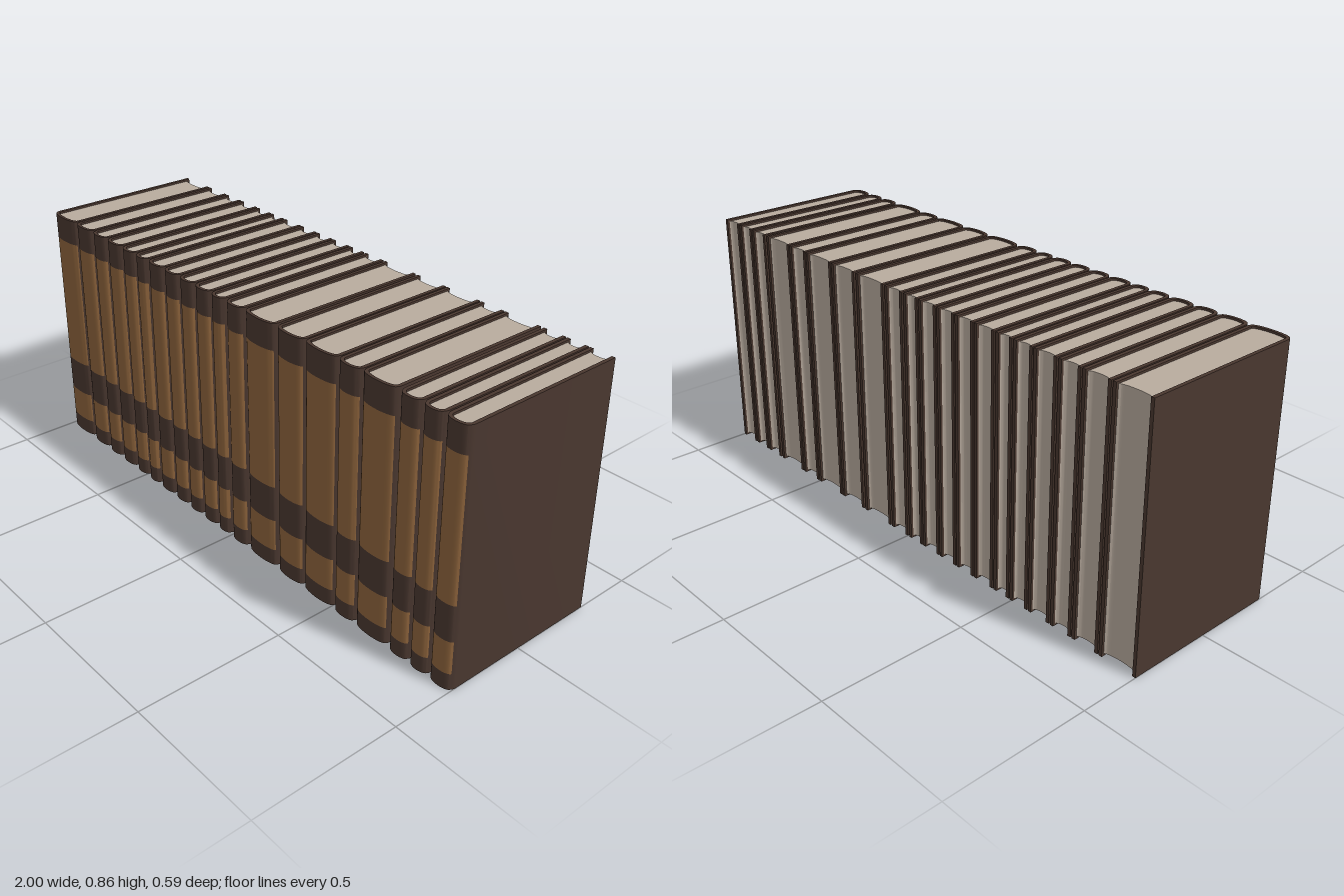
import * as THREE from 'three';
import { toCreasedNormals } from 'three/addons/utils/BufferGeometryUtils.js';

const HEIGHT = 0.86, BACK = -0.295, JOINT = 0.277, SPINE = 0.295, BOARD = 0.012;

// Left and right edge of every book along the row
const BOOKS = [
  [-1, -0.861], [-0.856, -0.754], [-0.749, -0.666], [-0.66, -0.572], [-0.567, -0.492],
  [-0.487, -0.42], [-0.414, -0.329], [-0.325, -0.246], [-0.241, -0.164], [-0.159, -0.08],
  [-0.075, -0.008], [0, 0.083], [0.091, 0.23], [0.24, 0.361], [0.366, 0.503],
  [0.508, 0.599], [0.604, 0.738], [0.749, 0.829], [0.834, 0.909], [0.914, 1],
];

// Spine bands from bottom to top: start, end, is it dark
const BANDS = [
  [0, 0.057, true], [0.057, 0.17, false], [0.17, 0.295, true],
  [0.295, 0.772, false], [0.772, HEIGHT, true],
];

// Upright prism from an outline of [x, z] points
function prism(points, y0, y1) {
  const shape = new THREE.Shape(points.map(([x, z]) => new THREE.Vector2(x, -z)));
  const g = new THREE.ExtrudeGeometry(shape, { depth: y1 - y0, bevelEnabled: false });
  g.rotateX(-Math.PI / 2).translate(0, y0, 0);
  return toCreasedNormals(g, 0.7);
}

// Rounded curve across the width, running from -half to +half
function arc(half, zEdge, zMid, steps = 14) {
  return Array.from({ length: steps + 1 }, (_, i) => {
    const a = Math.PI * (1 - i / steps);
    return [half * Math.cos(a), zEdge + (zMid - zEdge) * Math.sin(a)];
  });
}

export function createModel() {
  const cover = new THREE.MeshStandardMaterial({ color: 0x49372f });
  cover.name = 'dark brown cover';
  const leather = new THREE.MeshStandardMaterial({ color: 0x8e643c });
  leather.name = 'tan leather';
  const paper = new THREE.MeshStandardMaterial({ color: 0xb8ab9e });
  paper.name = 'old paper';

  const model = new THREE.Group();
  model.name = 'bookRow';

  const add = (parent, name, geometry, material) => {
    const mesh = new THREE.Mesh(geometry, material);
    mesh.name = name;
    parent.add(mesh);
  };

  for (const [left, right] of BOOKS) {
    const book = new THREE.Group();
    book.name = 'book';
    book.position.x = (left + right) / 2;
    const half = (right - left) / 2, inner = half - BOARD;

    // Cover boards, rounded where they meet the spine
    for (const s of [-1, 1]) {
      const outline = [
        [s * half, BACK], [s * half, JOINT - 0.009], [s * (half - 0.002), JOINT - 0.001],
        [s * (half - 0.006), JOINT + 0.005], [s * inner, JOINT + 0.005], [s * inner, BACK],
      ];
      add(book, s < 0 ? 'rightBoard' : 'leftBoard', prism(outline, 0, HEIGHT), cover);
    }

    // Rounded spine in coloured bands
    const spine = [
      ...arc(half - 0.005, JOINT + 0.003, SPINE),
      ...arc(inner, JOINT - 0.007, SPINE - 0.01).reverse(),
    ];
    for (const [y0, y1, dark] of BANDS) {
      add(book, dark ? 'spineDarkBand' : 'spineTanBand', prism(spine, y0, y1), dark ? cover : leather);
    }

    // Page block with a hollow fore edge
    const pages = [
      ...arc(inner, JOINT - 0.007, SPINE - 0.01),
      ...arc(inner, -0.287, -0.276).reverse(),
    ];
    add(book, 'pages', prism(pages, 0.007, HEIGHT - 0.007), paper);

    model.add(book);
  }
  return model;
}
